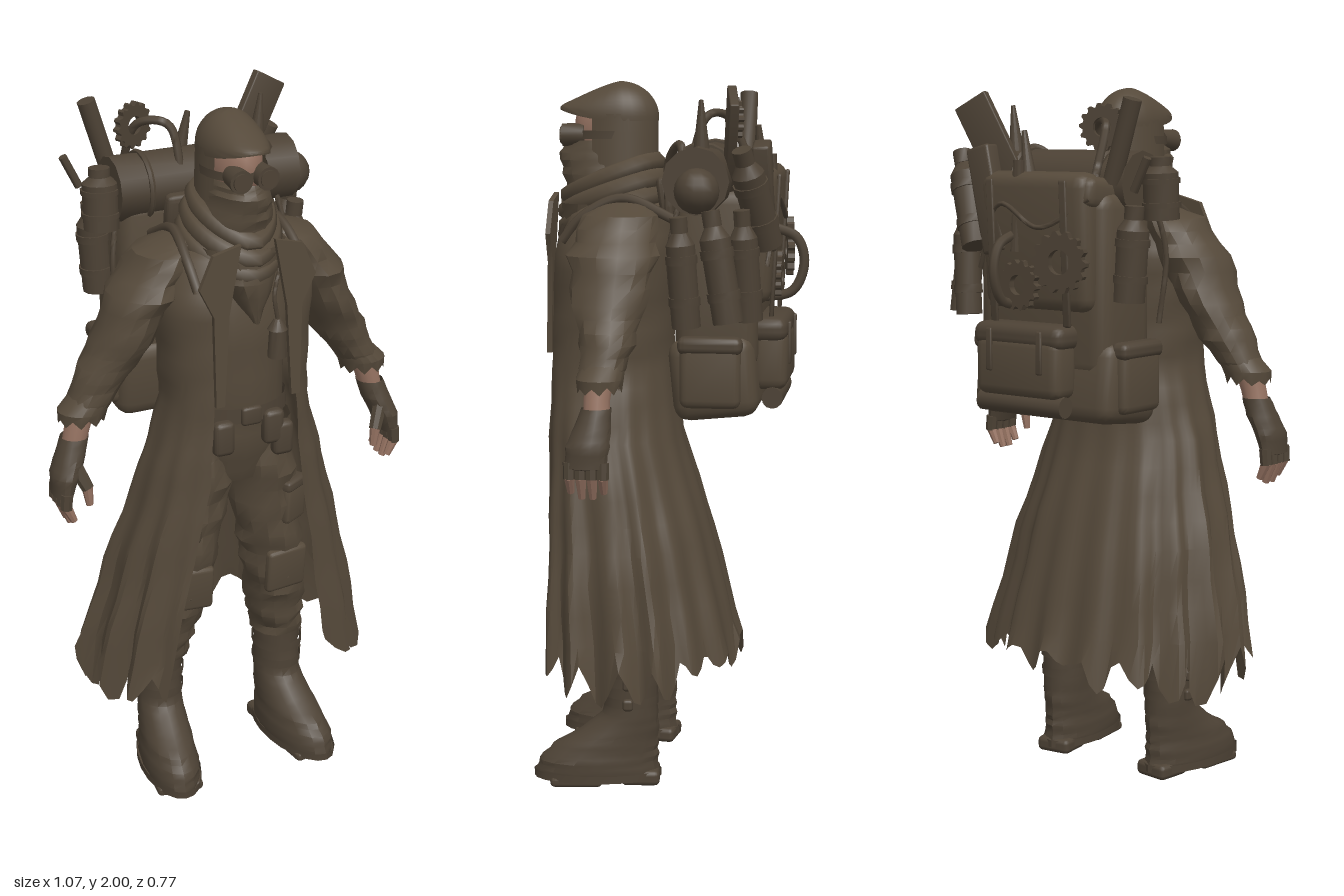
import * as THREE from 'three';
import { toCreasedNormals } from 'three/addons/utils/BufferGeometryUtils.js';
import { RoundedBoxGeometry } from 'three/addons/geometries/RoundedBoxGeometry.js';

const V = (p) => new THREE.Vector3(...p);
const hash = (n) => { const f = Math.sin(n * 127.1 + 3.7) * 43758.5453; return f - Math.floor(f); };

export function createModel() {
  const model = new THREE.Group();
  const material = (name, color) => {
    const m = new THREE.MeshStandardMaterial({ color, side: THREE.DoubleSide });
    m.name = name;
    return m;
  };
  const cloth = material('brown cloth', 0x55493a);
  const leather = material('dark leather', 0x4d4235);
  const skin = material('skin', 0x967362);

  const add = (name, geo, mat = cloth, parent = model, crease = 0.6) => {
    const mesh = new THREE.Mesh(toCreasedNormals(geo, crease), mat);
    mesh.name = name;
    parent.add(mesh);
    return mesh;
  };
  // Grid surface: fn(row, column) gives a point; rows run downward, columns to the right
  const grid = (rows, cols, fn) => {
    const pos = [], idx = [];
    for (let i = 0; i <= rows; i++) for (let j = 0; j <= cols; j++) pos.push(...fn(i, j));
    for (let i = 0; i < rows; i++) for (let j = 0; j < cols; j++) {
      const a = i * (cols + 1) + j, b = a + cols + 1;
      idx.push(a, b, a + 1, a + 1, b, b + 1);
    }
    const g = new THREE.BufferGeometry();
    g.setAttribute('position', new THREE.Float32BufferAttribute(pos, 3));
    g.setIndex(idx);
    return g;
  };
  const sample = (table, t) => {
    const i = Math.min(Math.floor(t), table.length - 2);
    return table[i].map((v, k) => v + (table[i + 1][k] - v) * (t - i));
  };
  // Loft through rings [x, y, z, rx, rz]; fold wrinkles the cloth, jag tears the last ring
  const loft = (rings, { s = 1, fold = 0, jag = 0, sides = 14, sub = 3 } = {}) => {
    const rows = (rings.length - 1) * sub;
    return grid(rows, sides, (i, j) => {
      const [x, y, z, rx, rz] = sample(rings, i / sub), jj = j % sides, a = jj / sides * Math.PI * 2;
      const k = 1 + fold * Math.sin(i * 2.3 + Math.sin(a * 2 + i) * 1.4);
      const tear = i === rows ? jag * (jj % 2 ? 1 : hash(jj) * 0.4) : 0;
      return [s * x + Math.sin(a) * rx * k, y - tear, z + Math.cos(a) * rz * k];
    });
  };
  const box = (name, size, pos, rot = [0, 0, 0], mat = leather, parent = model, r = 0.015) => {
    const m = add(name, new RoundedBoxGeometry(...size, 2, Math.min(r, Math.min(...size) / 2.1)), mat, parent);
    m.position.set(...pos);
    m.rotation.set(...rot);
    return m;
  };
  const rod = (name, from, to, r0, r1 = r0, mat = leather, parent = model, sides = 12) => {
    const a = V(from), b = V(to), d = b.clone().sub(a);
    const m = add(name, new THREE.CylinderGeometry(r1, r0, d.length(), sides), mat, parent);
    m.position.copy(a).add(b).multiplyScalar(0.5);
    m.quaternion.setFromUnitVectors(new THREE.Vector3(0, 1, 0), d.normalize());
    return m;
  };
  const tube = (name, pts, r, closed = false, mat = leather, parent = model) =>
    add(name, new THREE.TubeGeometry(new THREE.CatmullRomCurve3(pts.map(V), closed), 32, r, 7, closed), mat, parent, 1);

  // Torso and hips
  add('shirt', loft([[0, 1.7, .15, .06, .07], [0, 1.62, .15, .14, .12], [0, 1.45, .17, .17, .14],
    [0, 1.2, .17, .15, .13], [0, 1.06, .16, .165, .125], [0, .95, .15, .12, .1]], { fold: .025, sides: 20 }));
  add('belt', loft([[0, 1.2, .17, .16, .138], [0, 1.155, .17, .165, .138]], { sides: 20 }), leather);
  box('buckle', [.06, .055, .02], [0, 1.178, .31]);
  for (const [x, y] of [[.07, 1.13], [-.08, 1.12], [.1, 1.09]]) box('beltPouch', [.06, .1, .04], [x, y, .3]);

  // Long open coat with pleats and a torn hem: [y, half width, z centre, depth, half opening]
  const coat = [[1.69, .08, .13, .1, .04], [1.63, .18, .14, .14, .07], [1.52, .225, .16, .165, .1], [1.35, .21, .17, .165, .115],
    [1.2, .205, .175, .17, .125], [1.0, .26, .165, .185, .14], [.7, .34, .125, .235, .2], [.36, .41, .09, .28, .26]];
  const cols = 84, coatRows = 28;
  add('coat', grid(coatRows, cols, (i, j) => {
    let [y, w, zc, d, open] = sample(coat, i / 4);
    const gap = Math.asin(open / w), a = gap + (j / cols) * (Math.PI * 2 - gap * 2), c = Math.cos(a);
    const low = Math.max(0, (1.25 - y) / .87);
    const k = 1 + low * (.06 * Math.sin(a * 17) + .03 * Math.sin(a * 7 + 1)) + .012 * Math.sin(i * 1.9 + a * 3);
    if (i === coatRows) y += .05 - .13 * Math.abs(Math.sin(j * .62)) * (.4 + .8 * hash(Math.floor(j / 5)));
    const depth = c > 0 ? (d + .022) * Math.pow(c, .72) : d * c;
    return [w * Math.sin(a) * k, y, zc + depth * (1 + (k - 1) * .6)];
  }), cloth);

  for (const s of [-1, 1]) {
    // Lapel and pack strap
    const flap = new THREE.Shape([[.05, 1.69], [.13, 1.67], [.17, 1.58], [.13, 1.5], [.125, 1.24], [.1, 1.24], [.085, 1.5]]
      .map(([x, y]) => new THREE.Vector2(s * x, y)));
    const lapel = add('lapel', new THREE.ExtrudeGeometry(flap, { depth: .014, bevelEnabled: false }));
    lapel.position.set(0, 0, .37);
    lapel.rotation.x = -.025;
    tube('packStrap', [[s * .155, 1.56, .3], [s * .16, 1.63, .24], [s * .15, 1.68, .13], [s * .15, 1.62, -.02]], .014);

    // Sleeve, torn cuff, wrist
    add('sleeve', loft([[.1, 1.68, .13, .02, .05], [.18, 1.635, .13, .085, .1], [.25, 1.53, .14, .09, .125],
      [.31, 1.4, .14, .083, .1], [.37, 1.3, .135, .077, .075], [.425, 1.21, .145, .058, .055]], { s, fold: .07 }));
    add('cuff', loft([[.4, 1.255, .14, .06, .06], [.43, 1.215, .145, .07, .065], [.435, 1.2, .145, .064, .06]],
      { s, jag: .022, sides: 18, sub: 1 }));
    add('wrist', loft([[.43, 1.23, .145, .04, .04], [.45, 1.16, .15, .036, .036], [.465, 1.1, .15, .033, .036]], { s }), skin);
    // Fingerless glove and fingers
    add('glove', loft([[.458, 1.14, .15, .039, .041], [.475, 1.09, .158, .042, .05], [.497, 1.04, .168, .038, .06],
      [.508, .985, .172, .027, .055], [.508, .975, .172, .002, .002]], { s, fold: .02 }), leather);
    for (let f = 0; f < 4; f++) {
      const z = .125 + f * .03, tip = .915 - (f === 1 || f === 2 ? .015 : 0);
      rod('fingerGlove', [s * .508, 1.0, z], [s * .512, .955, z], .018, .017, leather, model, 8);
      rod('finger', [s * .511, .96, z], [s * .49, tip, z], .015, .01, skin, model, 8);
    }
    rod('thumbGlove', [s * .475, 1.07, .19], [s * .447, 1.005, .215], .022, .018, leather, model, 8);
    rod('thumb', [s * .449, 1.01, .214], [s * .443, .955, .215], .016, .01, skin, model, 8);

    // Trouser leg, knee pad, thigh pocket
    add('trouserLeg', loft([[.085, 1.12, .155, .09, .115], [.1, .95, .16, .1, .115], [.13, .75, .16, .097, .105],
      [.155, .6, .15, .092, .095], [.175, .46, .12, .086, .09], [.19, .36, .105, .074, .08]], { s, fold: .08, sub: 4 }));
    box('kneePad', [.13, .14, .03], [s * .15, .63, .24], [.1, s * .1, 0], cloth);
    box('thighPocket', [.09, .13, .05], [s * .165, .85, .235], [0, s * .5, 0], cloth);
    box('pocketFlap', [.095, .035, .06], [s * .165, .905, .235], [0, s * .5, 0]);

    // Boot
    const boot = new THREE.Group();
    boot.name = 'boot';
    boot.position.set(s * .195, 0, .1);
    boot.rotation.y = s * .13;
    model.add(boot);
    add('bootUpper', loft([[0, .4, 0, .072, .076], [0, .28, 0, .066, .073], [0, .21, .005, .066, .08], [0, .16, .035, .07, .112],
      [0, .115, .075, .074, .15], [0, .07, .097, .08, .174], [0, .03, .1, .08, .178]], { fold: .02, sides: 16 }), leather, boot);
    add('sole', loft([[0, .04, .1, .086, .184], [0, .018, .1, .086, .184], [0, .016, .1, .001, .001]], { sides: 20, sub: 1 }), leather, boot);
    box('heel', [.11, .045, .11], [0, .0225, -.025], [0, 0, 0], leather, boot);
    box('frontTread', [.14, .03, .15], [0, .015, .16], [0, 0, 0], leather, boot);
    for (const [y, r] of [[.31, .073], [.25, .071]]) {
      add('bootStrap', loft([[0, y + .014, .003, r, r + .008], [0, y - .014, .003, r, r + .008]], { sub: 1 }), leather, boot);
      box('bootBuckle', [.02, .035, .03], [s * r, y, .01], [0, 0, 0], leather, boot);
    }
  }
  // Chest lantern
  rod('lantern', [.065, 1.35, .33], [.065, 1.43, .33], .026, .022);
  rod('lanternCap', [.065, 1.43, .33], [.065, 1.46, .33], .028, .01);
  tube('lanternCord', [[.065, 1.46, .33], [.055, 1.53, .33], [.08, 1.6, .31]], .006);

  // Head, hood with a drooping peak, goggles and mask
  add('head', new THREE.SphereGeometry(1, 18, 12).scale(.07, .11, .105).translate(0, 1.87, .185), skin);
  const hood = new THREE.SphereGeometry(1, 28, 14, 0, Math.PI * 2, 0, Math.PI * .53);
  const hp = hood.attributes.position;
  for (let i = 0; i < hp.count; i++) {
    const x = hp.getX(i), y = hp.getY(i), z = hp.getZ(i), f = Math.max(0, z);
    hp.setXYZ(i, x * .087, 1.9 + y * .1 * (1 - .4 * f) + f * f * .025 * (1 - y), .16 + z * (z > 0 ? .172 : .112));
  }
  add('hood', hood);
  add('hoodBack', grid(4, 18, (i, j) => {
    const a = Math.PI * (.32 + 1.36 * j / 18), y = 1.91 - i * .05;
    return [Math.sin(a) * (.087 + i * .002), y, .165 + Math.cos(a) * .115];
  }));
  add('goggleStrap', loft([[0, 1.863, .175, .09, .118], [0, 1.84, .175, .09, .118]], { sub: 1, sides: 20 }), leather);
  for (const s of [-1, 1]) {
    rod('goggleRim', [s * .036, 1.852, .255], [s * .039, 1.85, .318], .029, .032, leather, model, 16);
    rod('goggleLens', [s * .039, 1.85, .317], [s * .039, 1.85, .323], .024, .024, leather, model, 16);
  }
  add('mask', loft([[0, 1.835, .19, .074, .125], [0, 1.8, .195, .084, .138], [0, 1.74, .19, .095, .135],
    [0, 1.66, .175, .11, .13]], { fold: .03, sides: 16 }));
  // Draped scarf loops and hanging point
  for (const [y, w, zf, zb, r] of [[1.74, .09, .305, .06, .03], [1.695, .105, .31, .05, .032], [1.65, .118, .31, .045, .032]])
    tube('scarfLoop', [[w, y, .17], [w * .7, y - .035, zf - .05], [0, y - .06, zf], [-w * .7, y - .03, zf - .05],
      [-w, y + .01, .17], [-w * .7, y + .03, zb + .03], [0, y + .035, zb], [w * .7, y + .03, zb + .03]], r, true, cloth);
  add('scarfPoint', loft([[0, 1.66, .24, .12, .085], [0, 1.57, .26, .085, .08], [.01, 1.45, .29, .01, .035]], { fold: .05 }));

  // Backpack
  const pack = new THREE.Group();
  pack.name = 'backpack';
  model.add(pack);
  const pb = (n, size, pos, rot, mat = cloth, r = .03) => box(n, size, pos, rot, mat, pack, r);
  const pr = (n, a, b, r0, r1) => rod(n, a, b, r0, r1, leather, pack);
  const pt = (n, pts, r) => tube(n, pts, r, false, leather, pack);
  pb('mainBag', [.46, .52, .23], [0, 1.46, -.14], [0, 0, 0], cloth, .05);
  pb('lowerBag', [.5, .23, .24], [0, 1.19, -.135], [.1, 0, 0], cloth, .045);
  pb('backBulge', [.38, .38, .1], [-.01, 1.58, -.245], [-.05, 0, 0], cloth, .04);
  pb('backPocket', [.3, .17, .1], [.02, 1.235, -.285], [0, 0, 0], cloth, .03);
  pb('backPocketFlap', [.32, .07, .11], [.02, 1.32, -.28], [0, 0, 0], leather, .03);
  pb('backPad', [.25, .12, .04], [0, 1.68, .015], [.15, 0, 0], leather);
  pr('smallRoll', [-.13, 1.13, -.295], [.17, 1.13, -.295], .03);
  pb('topLid', [.42, .09, .18], [0, 1.71, -.2], [.1, 0, 0]);
  pr('bedroll', [-.24, 1.735, -.095], [.3, 1.735, -.095], .092);
  for (const s of [-1, 1]) {
    pb('sidePocket', [.05, .18, .17], [s * .25, 1.2, -.13]);
    pb('sidePocketFlap', [.06, .05, .18], [s * .25, 1.285, -.13], [0, 0, 0], leather, .02);
    pb('pocketStrap', [.02, .12, .01], [s * .09 + .02, 1.28, -.337], [0, 0, 0], leather);
    pb('lidStrap', [.025, .4, .012], [s * .13, 1.55, -.297], [-.05, 0, 0], leather);
    const band = add('bedrollBand', new THREE.TorusGeometry(.092, .009, 6, 20), leather, pack);
    band.rotation.y = Math.PI / 2;
    band.position.set(s * .15, 1.735, -.095);
    pt('sideCord', [[s * .24, 1.7, -.05], [s * .265, 1.55, -.02], [s * .25, 1.35, -.03]], .008);
  }
  // Toothed wheels tied to the pack
  const gear = (r, pos, rot) => {
    const shape = new THREE.Shape();
    for (let i = 0; i < 56; i++) {
      const a = i / 56 * Math.PI * 2, q = i % 4 < 2 ? r : r * .86;
      shape[i ? 'lineTo' : 'moveTo'](Math.cos(a) * q, Math.sin(a) * q);
    }
    shape.holes.push(new THREE.Path().absarc(0, 0, r * .4, 0, Math.PI * 2, true));
    const m = add('toothedWheel', new THREE.ExtrudeGeometry(shape, { depth: .02, bevelEnabled: false }), leather, pack);
    m.position.set(...pos);
    m.rotation.set(...rot);
  };
  gear(.085, [-.13, 1.53, -.325], [0, .15, 0]);
  gear(.07, [.03, 1.46, -.31], [0, 0, 0]);
  gear(.065, [-.15, 1.89, -.16], [0, .4, 0]);
  // Canisters and bottles
  const bottle = (a, b, r) => {
    const A = V(a), B = V(b), at = (t) => A.clone().lerp(B, t).toArray();
    pr('canister', at(0), at(.75), r);
    pr('canisterShoulder', at(.75), at(.86), r, r * .55);
    pr('canisterCap', at(.86), at(1), r * .6);
    pr('canisterBand', at(.2), at(.28), r * 1.1);
    pr('canisterBand', at(.58), at(.66), r * 1.1);
  };
  bottle([.29, 1.34, -.07], [.31, 1.64, -.05], .04);
  bottle([.335, 1.36, -.19], [.335, 1.66, -.14], .042);
  bottle([.27, 1.36, -.24], [.3, 1.66, -.22], .038);
  bottle([.2, 1.56, -.28], [.31, 1.82, -.22], .045);
  bottle([-.28, 1.64, -.06], [-.28, 1.81, -.07], .05);
  bottle([-.25, 1.42, -.17], [-.27, 1.68, -.17], .045);
  const pot = add('roundPot', new THREE.SphereGeometry(.062, 14, 10), leather, pack);
  pot.position.set(.31, 1.71, -.1);
  // Tools, board and blades rising from the top
  pr('pipe', [-.2, 1.74, -.18], [-.27, 1.965, -.18], .026);
  pr('spike', [-.29, 1.72, -.2], [-.335, 1.81, -.2], .012);
  pb('board', [.11, .34, .025], [.215, 1.815, -.18], [0, .2, -.5], leather, .004);
  pb('tallBox', [.08, .3, .05], [.16, 1.69, -.27], [.05, 0, -.25], leather, .008);
  pr('blade', [.2, 1.74, -.1], [.22, 1.95, -.1], .032, .006);
  pr('blade', [.03, 1.72, -.25], [.06, 1.88, -.24], .025, .008);
  pr('handle', [.05, 1.55, -.29], [.05, 1.8, -.275], .016);
  // Hoses and cords
  pt('topHose', [[-.16, 1.76, -.2], [-.14, 1.9, -.13], [-.07, 1.9, -.08], [-.05, 1.75, -.03]], .012);
  pt('backHose', [[.06, 1.6, -.28], [.06, 1.57, -.35], [.06, 1.5, -.372], [.06, 1.42, -.34], [.06, 1.4, -.25]], .014);
  pt('frontHose', [[.13, 1.62, .0], [.14, 1.78, .0], [.2, 1.83, -.04], [.25, 1.74, -.06]], .012);
  pt('backCord', [[-.2, 1.7, -.28], [-.05, 1.62, -.31], [.1, 1.68, -.3], [.19, 1.5, -.28]], .007);
  return model;
}
